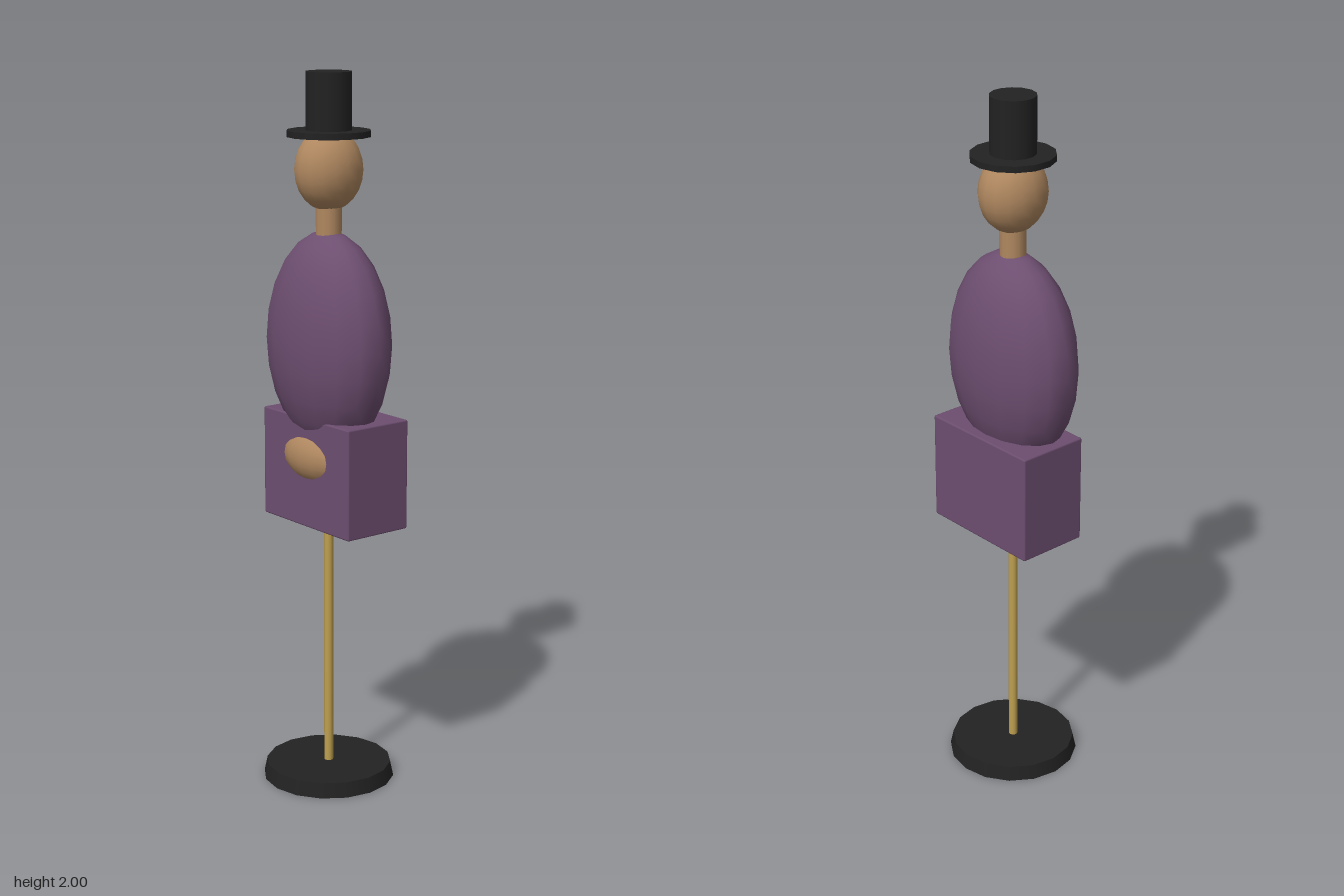
import * as THREE from 'three';
import { RoundedBoxGeometry } from 'three/addons/geometries/RoundedBoxGeometry.js';

const paint = (name, color) => {
  const m = new THREE.MeshStandardMaterial({ color });
  m.name = name;
  return m;
};

export function createModel() {
  const black = paint('black', 0x222222);
  const purple = paint('purple', 0x6d4e70);
  const skin = paint('skin', 0xb08860);
  const brass = paint('brass', 0xc0a050);

  const model = new THREE.Group();
  model.name = 'standingFigure';

  const add = (name, geometry, material, y, z = 0) => {
    const mesh = new THREE.Mesh(geometry, material);
    mesh.name = name;
    mesh.position.set(0, y, z);
    model.add(mesh);
    return mesh;
  };
  // Upright cylinder between two heights
  const post = (name, rTop, rBottom, y0, y1, sides, material) =>
    add(name, new THREE.CylinderGeometry(rTop, rBottom, y1 - y0, sides), material, (y0 + y1) / 2);
  // Ellipsoid from its three radii
  const ellipsoid = (name, rx, ry, rz, material, y, z = 0) =>
    add(name, new THREE.SphereGeometry(1, 16, 12).scale(rx, ry, rz), material, y, z);

  // Stand
  post('base', 0.178, 0.187, 0, 0.042, 16, black);
  post('pole', 0.013, 0.013, 0.03, 0.77, 10, brass);

  // Body
  add('lowerBody', new RoundedBoxGeometry(0.378, 0.31, 0.21, 1, 0.005), purple, 0.91, -0.022);
  ellipsoid('torso', 0.22, 0.305, 0.136, purple, 1.27);
  ellipsoid('claspedHands', 0.127, 0.077, 0.065, skin, 0.952, 0.04);

  // Head
  post('neck', 0.036, 0.036, 1.54, 1.66, 14, skin);
  ellipsoid('head', 0.087, 0.112, 0.099, skin, 1.74);

  // Top hat
  post('hatBrim', 0.115, 0.115, 1.828, 1.845, 14, black);
  post('hatCrown', 0.063, 0.063, 1.84, 2, 14, black);

  return model;
}
